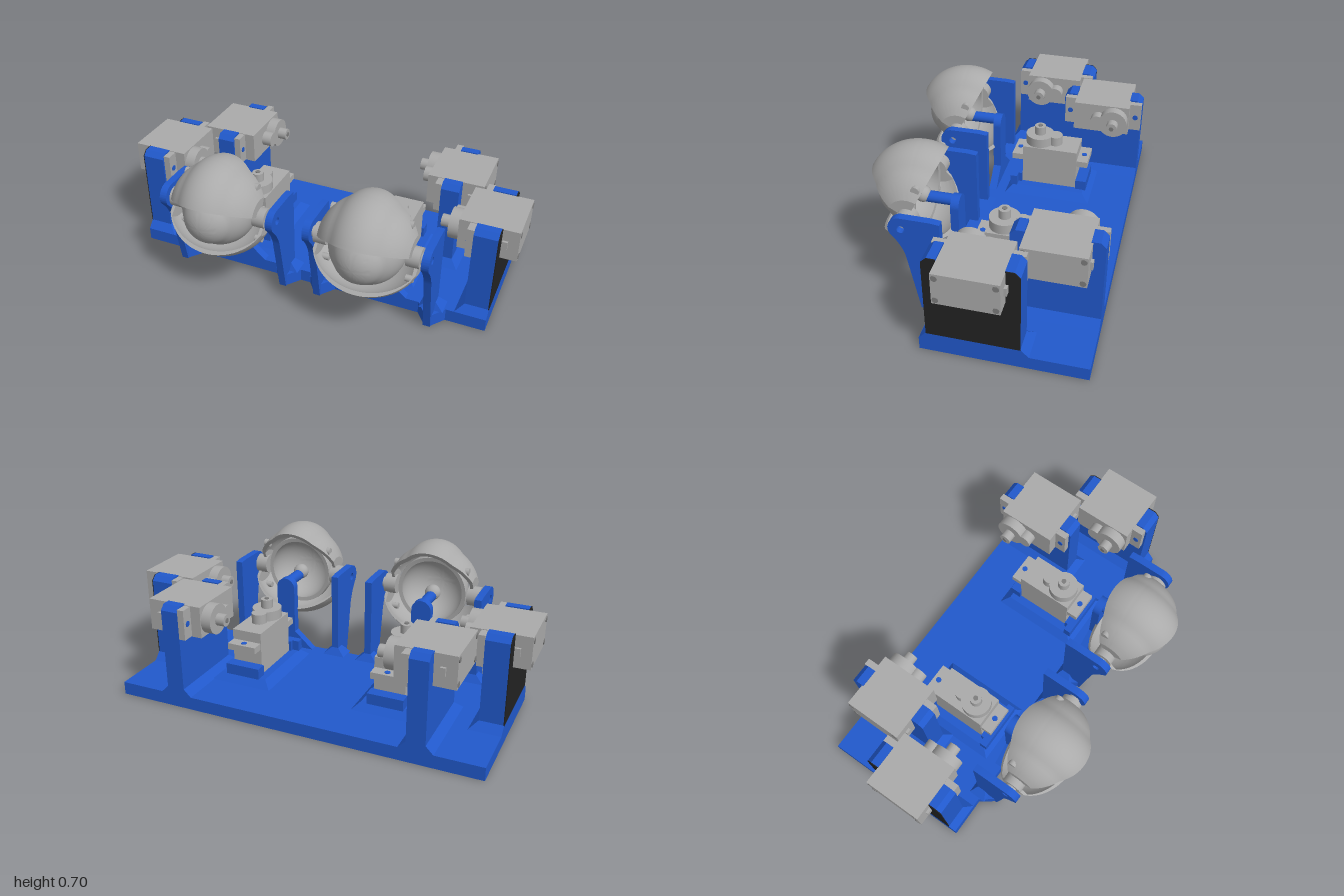
import * as THREE from 'three';
import { toCreasedNormals } from 'three/addons/utils/BufferGeometryUtils.js';

const blue = new THREE.MeshStandardMaterial({ color: 0x2159cc });
blue.name = 'blue frame';
const grey = new THREE.MeshStandardMaterial({ color: 0xaaaaaa, side: THREE.DoubleSide });
grey.name = 'light grey';
const black = new THREE.MeshStandardMaterial({ color: 0x222222 });
black.name = 'black panel';
const dark = new THREE.MeshStandardMaterial({ color: 0x7c7c7c });
dark.name = 'screw grey';

const EX = 0.377, EY = 0.445, EZ = 0.335; // eye centre

const box = (x0, x1, y0, y1, z0, z1) =>
  new THREE.BoxGeometry(x1 - x0, y1 - y0, z1 - z0).translate((x0 + x1) / 2, (y0 + y1) / 2, (z0 + z1) / 2);

const cyl = (r, y0, y1, x = 0, z = 0, n = 24) =>
  new THREE.CylinderGeometry(r, r, y1 - y0, n).translate(x, (y0 + y1) / 2, z);

const cylX = (r, x0, x1, y, z, n = 24) =>
  new THREE.CylinderGeometry(r, r, x1 - x0, n).rotateZ(-Math.PI / 2).translate((x0 + x1) / 2, y, z);

// Box whose top is drawn in by [x0, x1, z0, z1]
function frustum(x0, x1, y0, y1, z0, z1, inset) {
  const g = box(x0, x1, y0, y1, z0, z1).toNonIndexed();
  const p = g.attributes.position;
  const mx = (x0 + x1) / 2, my = (y0 + y1) / 2, mz = (z0 + z1) / 2;
  for (let i = 0; i < p.count; i++) {
    if (p.getY(i) < my) continue;
    p.setX(i, p.getX(i) < mx ? x0 + inset[0] : x1 - inset[1]);
    p.setZ(i, p.getZ(i) < mz ? z0 + inset[2] : z1 - inset[3]);
  }
  g.computeVertexNormals();
  return g;
}

const shapeOf = pts => new THREE.Shape(pts.map(p => new THREE.Vector2(p[0], p[1])));

// Side outline in (z, y), extruded from x0 to x1
const sideExtrude = (shape, x0, x1) =>
  new THREE.ExtrudeGeometry(shape, { depth: x1 - x0, bevelEnabled: false, curveSegments: 16 })
    .rotateY(-Math.PI / 2).translate(x1, 0, 0);

// Mirrored copy across x with corner order restored
function mirrored(geo) {
  const g = geo.index ? geo.toNonIndexed() : geo.clone();
  for (const a of [g.attributes.position, g.attributes.normal]) {
    for (let i = 0; i < a.count; i++) a.setX(i, -a.getX(i));
    for (let i = 0; i < a.count; i += 3) {
      const b = [a.getX(i + 1), a.getY(i + 1), a.getZ(i + 1)];
      a.setXYZ(i + 1, a.getX(i + 2), a.getY(i + 2), a.getZ(i + 2));
      a.setXYZ(i + 2, ...b);
    }
  }
  return g;
}

// Eyelid: revolved shell segment around the x axis, with closed cut faces
function eyelid(outer, inner, w, thick, a0, a1) {
  const pts = [[0.03, -w]], n = 28, wi = w - thick;
  for (let i = 0; i <= n; i++) { const x = -w + 2 * w * i / n; pts.push([outer(x), x]); }
  pts.push([0.03, w], [0.03, wi]);
  for (let i = 0; i <= n; i++) { const x = wi - 2 * wi * i / n; pts.push([inner(x), x]); }
  pts.push([0.03, -wi]);
  const loop = [...pts, pts[0]].map(p => new THREE.Vector2(p[0], p[1]));
  const start = -a1 * Math.PI / 180, len = (a1 - a0) * Math.PI / 180;
  const geos = [toCreasedNormals(new THREE.LatheGeometry(loop, 28, start, len), 0.4)];
  for (const phi of [start, start + len])
    geos.push(new THREE.ShapeGeometry(shapeOf(pts)).rotateY(phi - Math.PI / 2));
  return geos.map(g => g.rotateZ(-Math.PI / 2).translate(EX, EY, EZ));
}
const bulged = (base, off, r) => x => Math.max(
  Math.sqrt(Math.max(base * base - x * x, 0)), Math.abs(x) < r ? off + Math.sqrt(r * r - x * x) : 0);

// Servo parts: y is the shaft axis, y = 0 the underside of the flange
function servoParts() {
  const parts = [
    ['servoBody', box(-0.078, 0.078, -0.195, 0.085, -0.145, 0.145), grey],
    ['servoFlange', box(-0.075, 0.075, 0, 0.033, -0.203, 0.203), grey],
    ['servoGearHousing', cyl(0.074, 0.085, 0.135, 0, 0.068, 32), grey],
    ['servoSmallHousing', cyl(0.038, 0.085, 0.135, 0, -0.015), grey],
    ['servoShaft', cyl(0.03, 0.135, 0.18, 0, 0.068, 12), grey],
    ['servoShaftHole', cyl(0.012, 0.18, 0.184, 0, 0.068, 12), dark],
    ['servoCableExit', box(-0.02, 0.02, -0.145, -0.12, 0.145, 0.158), grey],
    ['servoCableExit', box(-0.02, 0.02, -0.145, -0.12, -0.158, -0.145), grey],
  ];
  for (const z of [-0.175, 0.175]) parts.push(['flangeHole', cyl(0.014, 0.033, 0.036, 0, z, 12), blue]);
  for (const x of [-0.057, 0.057]) for (const z of [-0.127, 0.127])
    parts.push(['servoScrew', cyl(0.014, -0.198, -0.195, x, z, 12), dark]);
  return parts;
}

// U-shaped servo support outline in (z, y)
const supportShape = (z0, z1, y0) => shapeOf([
  [z0, y0], [z1, y0], [z1, 0.5], [z1 - 0.025, 0.525], [z1 - 0.065, 0.525], [z1 - 0.065, 0.362],
  [z0 + 0.065, 0.362], [z0 + 0.065, 0.525], [z0 + 0.025, 0.525], [z0, 0.5]]);

export function createModel() {
  const root = new THREE.Group();
  root.name = 'eyeMechanism';
  const sides = ['left', 'right'].map(n => {
    const g = new THREE.Group();
    g.name = n + 'Side';
    root.add(g);
    return g;
  });
  const add = (name, geo, mat) => [geo, mirrored(geo)].forEach((g, i) => {
    const m = new THREE.Mesh(g, mat);
    m.name = name;
    sides[i].add(m);
  });

  // Base plate
  const plate = new THREE.Mesh(box(-0.92, 0.92, 0, 0.065, -0.565, 0.19), blue);
  plate.name = 'basePlate';
  root.add(plate);

  // Outer and inner servo supports with flared feet
  add('outerSupport', sideExtrude(supportShape(-0.265, 0.155, 0.06), 0.805, 0.917), blue);
  add('outerPanel', sideExtrude(supportShape(-0.265, 0.155, 0.1), 0.917, 0.921), black);
  add('outerSupportFoot', frustum(0.765, 0.92, 0.064, 0.102, -0.303, 0.19, [0.04, 0, 0.038, 0.035]), blue);
  add('innerSupport', sideExtrude(supportShape(-0.565, -0.15, 0.06), 0.565, 0.655), blue);
  add('innerSupportFoot', frustum(0.527, 0.693, 0.064, 0.102, -0.565, -0.112, [0.038, 0.038, 0, 0.038]), blue);

  // Servos: outer, inner and upright
  for (const [name, geo, mat] of servoParts())
    add('outer ' + name, geo.rotateZ(Math.PI / 2).translate(0.805, 0.4425, -0.057), mat);
  for (const [name, geo, mat] of servoParts())
    add('inner ' + name, geo.rotateY(Math.PI).rotateZ(Math.PI / 2).translate(0.565, 0.4425, -0.3625), mat);
  for (const [name, geo, mat] of servoParts())
    add('upright ' + name, geo.translate(EX, 0.235, -0.125), mat);

  // Pedestal under the upright servo
  add('pedestal', frustum(EX - 0.16, EX + 0.16, 0.064, 0.102, -0.355, 0.1, [0.04, 0.04, 0.04, 0.04]), blue);
  for (const s of [-1, 1])
    add('pedestalBlock', box(EX - 0.09, EX + 0.09, 0.1, 0.155, -0.125 + s * 0.175 - 0.028, -0.125 + s * 0.175 + 0.028), blue);
  add('pedestalLip', box(EX - 0.125, EX + 0.125, 0.1, 0.155, 0.04, 0.078), blue);

  // Eye post with rounded top, and its arm into the eye
  const post = new THREE.Shape();
  post.moveTo(-0.155, 0.06);
  post.lineTo(0.155, 0.06);
  post.lineTo(0.05, 0.155);
  post.lineTo(0.05, 0.4);
  post.absarc(0, 0.4, 0.05, 0, Math.PI, false);
  post.lineTo(-0.05, 0.155);
  add('eyePost', new THREE.ExtrudeGeometry(post, { depth: 0.04, bevelEnabled: false }).translate(EX, 0, 0.15), blue);
  add('eyeArm', new THREE.CylinderGeometry(0.028, 0.028, 0.15, 16).rotateX(Math.PI / 2).translate(EX, 0.42, 0.255), blue);
  add('eyeJoint', new THREE.SphereGeometry(0.04, 20, 14).translate(EX, 0.43, EZ), grey);

  // Bracket plates either side of the eye
  const bracket = new THREE.Shape();
  bracket.moveTo(0.155, 0.03);
  bracket.lineTo(0.155, 0.5);
  bracket.lineTo(0.2, 0.505);
  bracket.lineTo(EZ, 0.505);
  bracket.absarc(EZ, EY, 0.06, Math.PI / 2, -0.5, true);
  bracket.quadraticCurveTo(0.335, 0.36, 0.32, 0.3);
  bracket.lineTo(0.265, 0);
  bracket.lineTo(0.185, 0);
  const hole = new THREE.Path();
  hole.absarc(EZ, EY, 0.019, 0, Math.PI * 2, false);
  bracket.holes.push(hole);
  for (const [x0, x1] of [[0.075, 0.111], [0.641, 0.677]]) {
    const c = (x0 + x1) / 2;
    add('eyeBracket', toCreasedNormals(sideExtrude(bracket, x0, x1), 0.5), blue);
    // Tapered gusset in front of the plate, and a low foot behind
    const gusset = shapeOf([[c - 0.075, -0.18], [c - 0.018, -0.255], [c + 0.018, -0.255], [c + 0.075, -0.18]].reverse());
    add('bracketGusset', new THREE.ExtrudeGeometry(gusset, { depth: 0.065, bevelEnabled: false }).rotateX(-Math.PI / 2), blue);
    add('bracketFoot', frustum(c - 0.06, c + 0.06, 0.064, 0.102, 0.13, 0.22, [0.042, 0.042, 0.025, 0.02]), blue);
  }

  // Hollow eyeball with a raised cornea
  const ball = [];
  for (let i = 0; i <= 10; i++) { // cornea
    const a = i / 10 * 1.13;
    ball.push(new THREE.Vector2(0.135 * Math.sin(a), 0.075 + 0.135 * Math.cos(a)));
  }
  for (let i = 0; i <= 16; i++) { // outer wall
    const a = 0.76 + i / 16 * 0.95;
    ball.push(new THREE.Vector2(0.18 * Math.sin(a), 0.18 * Math.cos(a)));
  }
  for (let i = 0; i <= 16; i++) { // inner wall
    const a = 1.71 * (1 - i / 16);
    ball.push(new THREE.Vector2(0.16 * Math.sin(a), 0.16 * Math.cos(a)));
  }
  add('eyeball', toCreasedNormals(new THREE.LatheGeometry(ball, 48), 0.4)
    .rotateX(Math.PI / 2).translate(EX, EY, EZ), grey);

  // Eyelids
  for (const g of eyelid(bulged(0.235, 0.11, 0.15), bulged(0.215, 0.11, 0.13), 0.215, 0.015, 28.5, 117.5))
    add('upperEyelid', g, grey);
  const oval = r => x => r * Math.sqrt(1 - (x / 0.262) ** 2);
  for (const g of eyelid(oval(0.235), oval(0.215), 0.245, 0.015, -132, -42))
    add('lowerEyelid', g, grey);

  // Lid pivots and linkage holes
  for (const s of [-1, 1]) {
    const span = (a, b) => [EX + Math.min(s * a, s * b), EX + Math.max(s * a, s * b)];
    add('lidPivot', cylX(0.05, ...span(0.19, 0.252), EY, EZ), grey);
    add('lidPivotPin', cylX(0.028, ...span(0.252, 0.266), EY, EZ), grey);
    add('upperLidHole', cylX(0.02, ...span(0.165, 0.194), 0.58, 0.298, 16), grey);
    add('lowerLidHole', cylX(0.016, ...span(0.185, 0.222), 0.32, 0.34, 16), grey);
  }
  return root;
}
